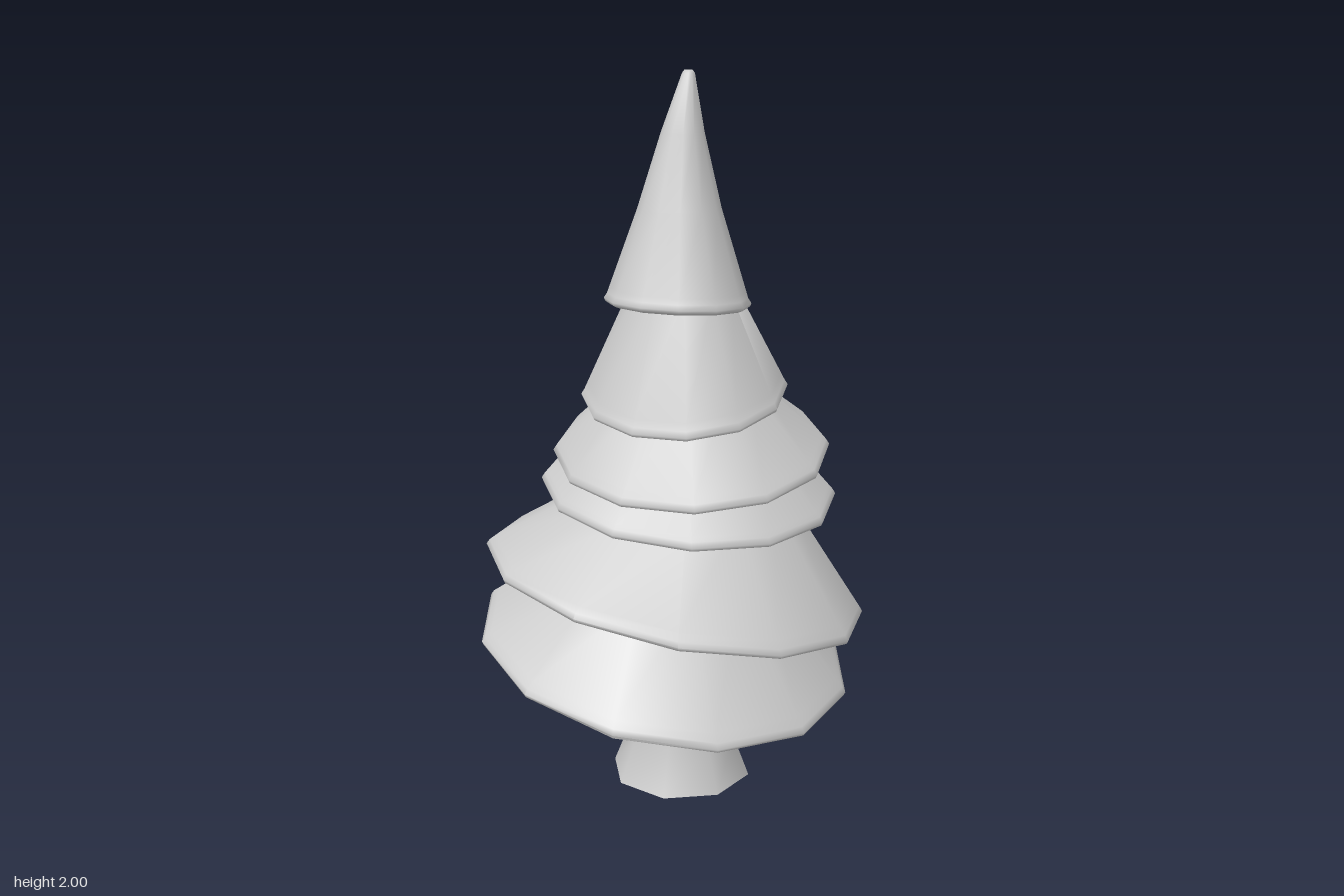
import * as THREE from 'three';
import { toCreasedNormals } from 'three/addons/utils/BufferGeometryUtils.js';

const material = new THREE.MeshStandardMaterial({ color: 0xcccccc });
const openMaterial = new THREE.MeshStandardMaterial({ color: 0xcccccc, side: THREE.DoubleSide });

// Skin a stack of rings, bottom to top; optionally close both ends with a fan.
// Ring: { c: [x, y, z], r, tilt: [rise per x, rise per z] }
function loft(rings, sides, phase, capped) {
  const pos = [], index = [];
  for (const { c, r, tilt = [0, 0] } of rings) {
    for (let i = 0; i < sides; i++) {
      const a = phase + (i / sides) * Math.PI * 2;
      const dx = r * Math.sin(a), dz = r * Math.cos(a);
      pos.push(c[0] + dx, c[1] + tilt[0] * dx + tilt[1] * dz, c[2] + dz);
    }
  }
  const last = rings.length - 1;
  const low = pos.length / 3, high = low + 1;
  pos.push(...rings[0].c, ...rings[last].c);
  for (let i = 0; i < sides; i++) {
    const j = (i + 1) % sides;
    for (let k = 0; k < last; k++) {
      const a = k * sides + i, b = k * sides + j;
      index.push(a, b, b + sides, a, b + sides, a + sides);
    }
    if (capped) index.push(low, j, i, high, last * sides + i, last * sides + j);
  }
  const g = new THREE.BufferGeometry();
  g.setAttribute('position', new THREE.Float32BufferAttribute(pos, 3));
  g.setIndex(index);
  return toCreasedNormals(g, 1.15);
}

function part(name, geometry, mat) {
  const mesh = new THREE.Mesh(geometry, mat);
  mesh.name = name;
  return mesh;
}

// Ring a fraction t of the way from ring a to level ring b
function between(a, b, t) {
  const r = THREE.MathUtils.lerp(a.r, b.r, t);
  return {
    c: a.c.map((v, i) => THREE.MathUtils.lerp(v, b.c[i], t)),
    r,
    tilt: a.tilt.map((v) => (v * a.r * (1 - t)) / r),
  };
}

// One skirt of foliage: recessed underside, tilted rounded lip, then the cone
function tier({ c, r, tilt, top, phase = 0 }) {
  const rim = (radius, dy) => ({ c: [c[0], c[1] + dy, c[2]], r: radius, tilt });
  const lip = rim(r - 0.009, 0.028);
  const rings = [
    rim(r * 0.3, r * 0.24), rim(r - 0.035, 0.008),
    rim(r - 0.016, 0), rim(r - 0.004, 0.005), rim(r, 0.014), lip,
    between(lip, top[0], 0.07), ...top,
  ];
  return loft(rings, 12, phase, true);
}

const tiers = [
  { c: [-0.007, 0.36, -0.037], r: 0.532, tilt: [-0.07, -0.19], phase: Math.PI / 12,
    top: [{ c: [-0.01, 0.62, -0.02], r: 0.28 }, { c: [0, 0.72, 0], r: 0.18 }] },
  { c: [0.002, 0.575, 0.012], r: 0.535, tilt: [-0.18, -0.08],
    top: [{ c: [0.02, 0.85, 0.03], r: 0.28 }, { c: [0.02, 0.97, 0.02], r: 0.17 }] },
  { c: [0.047, 0.842, 0.008], r: 0.414, tilt: [0, -0.12],
    top: [{ c: [0.03, 1.0, 0.02], r: 0.26 }, { c: [0.03, 1.09, 0.02], r: 0.16 }] },
  { c: [0.057, 0.953, 0.005], r: 0.387, tilt: [0.1, -0.135],
    top: [{ c: [0.03, 1.17, 0.03], r: 0.19 }, { c: [0.03, 1.23, 0.03], r: 0.13 }] },
  { c: [0.019, 1.13, 0.03], r: 0.284, tilt: [0.15, -0.17],
    top: [{ c: [0.015, 1.42, 0.03], r: 0.147 }] },
  // Tip, leaning slightly to one side
  { c: [0, 1.378, 0.025], r: 0.2, tilt: [-0.06, 0.02],
    top: [
      { c: [0.01, 1.64, 0.017], r: 0.113 },
      { c: [0.018, 1.84, 0.02], r: 0.058 },
      { c: [0.034, 1.992, 0.022], r: 0.017 },
      { c: [0.034, 2.0, 0.022], r: 0.011 },
    ] },
];

export function createModel() {
  const tree = new THREE.Group();
  tree.name = 'pineTree';

  // Hollow trunk flaring out at the foot
  tree.add(part('trunk', loft([
    { c: [0.011, 0, 0.028], r: 0.202 },
    { c: [0.011, 0.12, 0.028], r: 0.155 },
    { c: [0.011, 0.26, 0.028], r: 0.147 },
    { c: [0.011, 0.5, 0.028], r: 0.14 },
  ], 8, 0, false), openMaterial));

  // Foliage from bottom to top
  tiers.forEach((t, i) => tree.add(part(`foliageTier${i + 1}`, tier(t), material)));
  return tree;
}
